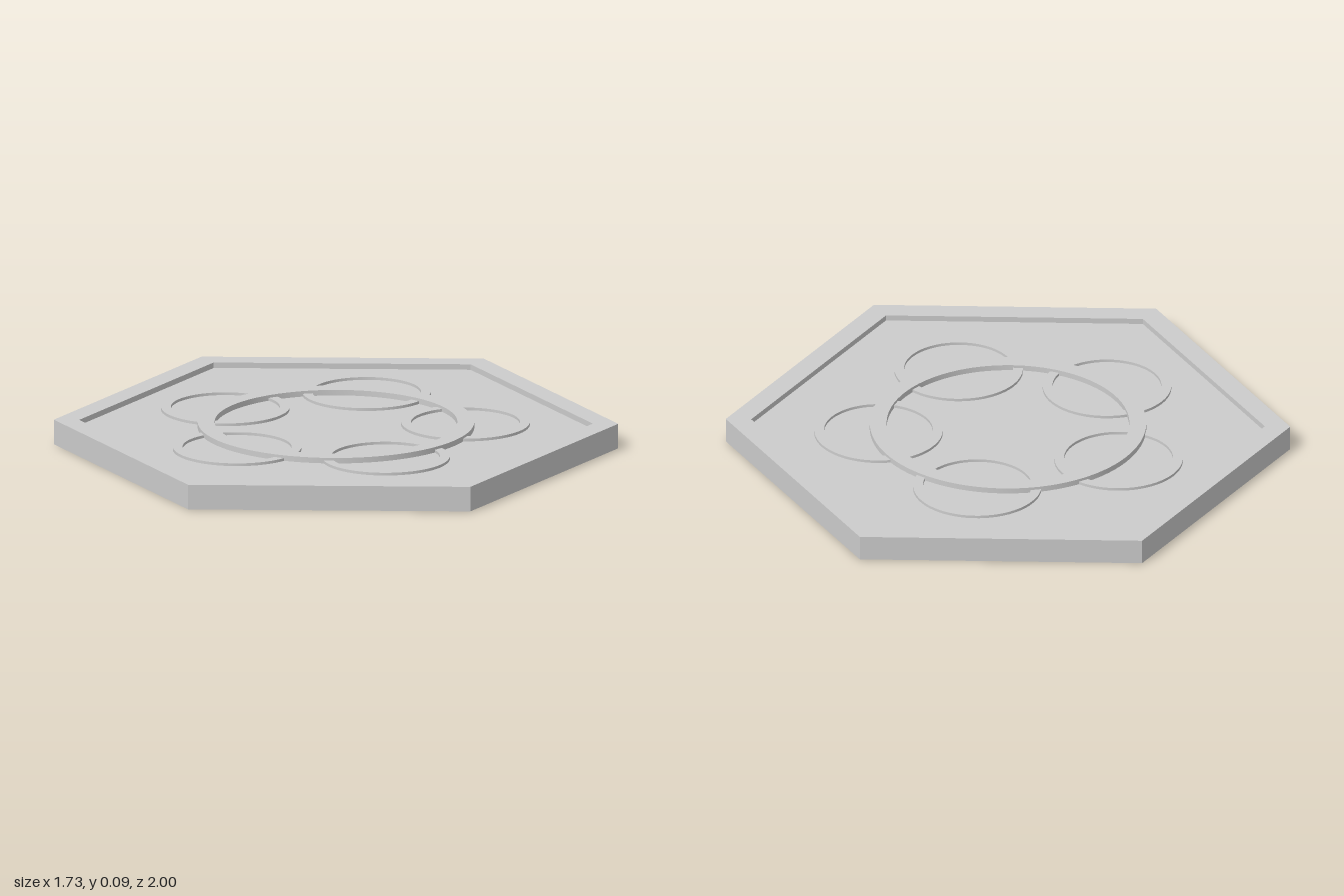
import * as THREE from 'three';
import { toCreasedNormals } from 'three/addons/utils/BufferGeometryUtils.js';

const FLOOR = 0.07, TOP = 0.09;
const material = new THREE.MeshStandardMaterial({ color: 0xcccccc });
const flatMaterial = new THREE.MeshStandardMaterial({ color: 0xcccccc, flatShading: true });

// Revolves a list of [radius, height] pairs around the y axis
function lathe(profile, segments) {
  return new THREE.LatheGeometry(profile.map(([r, y]) => new THREE.Vector2(r, y)), segments);
}

// Flat raised ring standing on the recessed floor
function ring(name, inner, outer, top, segments) {
  const profile = [[outer, FLOOR], [outer, top], [inner, top], [inner, FLOOR]];
  const mesh = new THREE.Mesh(toCreasedNormals(lathe(profile, segments), 0.6), material);
  mesh.name = name;
  return mesh;
}

export function createModel() {
  const model = new THREE.Group();
  model.name = 'hexagonalTile';

  // Hexagonal tray: flat underside, raised rim, recessed floor
  const tray = new THREE.Mesh(
    lathe([[0, 0], [1, 0], [1, TOP], [0.91, TOP], [0.91, FLOOR], [0, FLOOR]], 6),
    flatMaterial
  );
  tray.name = 'hexagonalTray';
  model.add(tray);

  // Large central ring, level with the rim
  model.add(ring('centralRing', 0.43, 0.49, TOP, 96));

  // Five lower rings spaced evenly around it, the first towards -x
  for (let i = 0; i < 5; i++) {
    const angle = Math.PI + (i * Math.PI * 2) / 5;
    const small = ring(`smallRing${i + 1}`, 0.193, 0.228, 0.08, 64);
    small.position.set(0.46 * Math.cos(angle), 0, 0.46 * Math.sin(angle));
    model.add(small);
  }
  return model;
}
